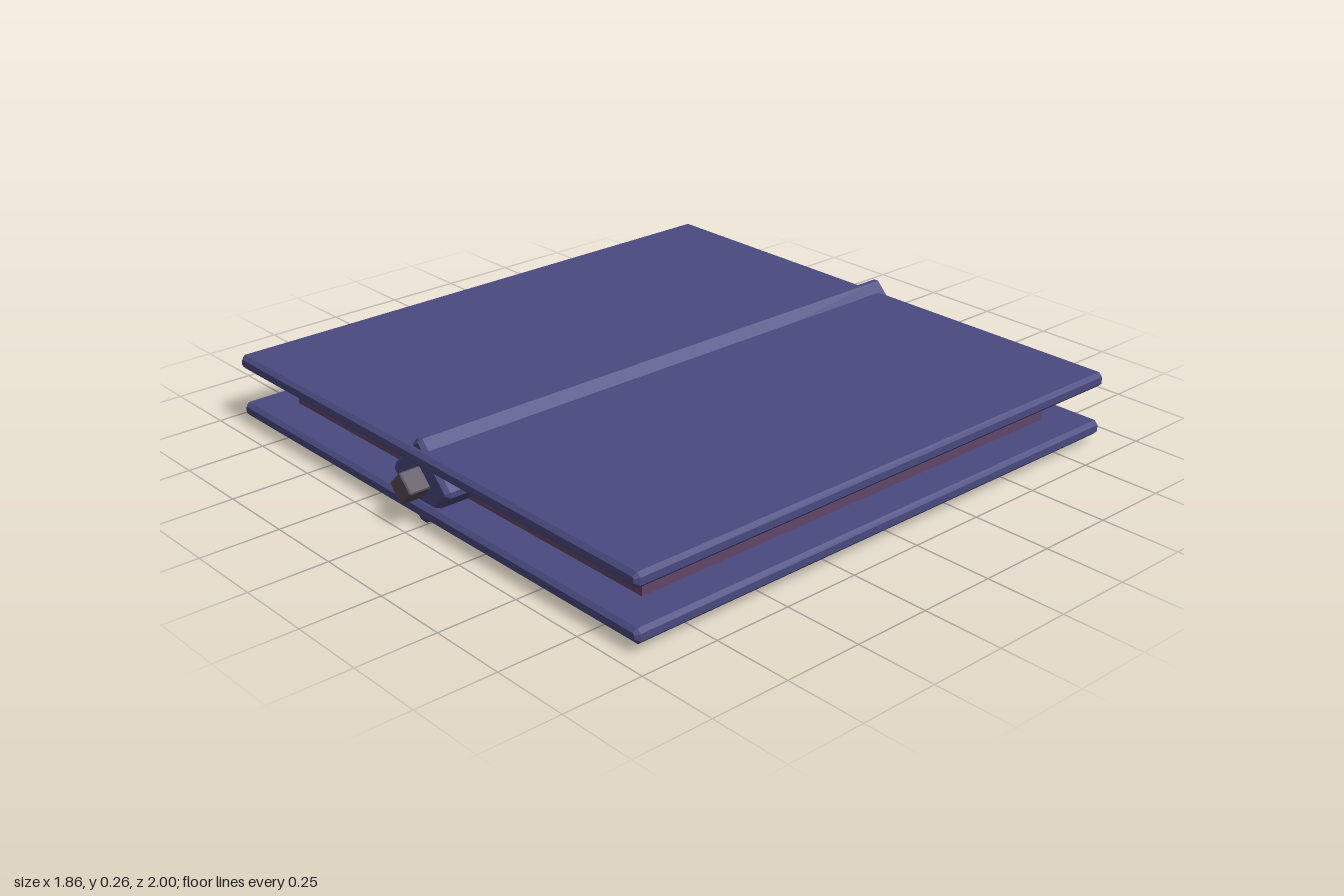
import * as THREE from 'three';

const blue = new THREE.MeshStandardMaterial({ color: 0x4a4a80, flatShading: true });
const plum = new THREE.MeshStandardMaterial({ color: 0x604668, flatShading: true });
const brown = new THREE.MeshStandardMaterial({ color: 0x564c58, flatShading: true });

// Box with every edge chamfered by c, centred on the origin
function chamferedBox(w, h, d, c) {
  const x = w / 2, y = h / 2;
  const corners = [
    [x - c, -y], [x, -y + c], [x, y - c], [x - c, y],
    [-x + c, y], [-x, y - c], [-x, -y + c], [-x + c, -y],
  ];
  const shape = new THREE.Shape(corners.map(([px, py]) => new THREE.Vector2(px, py)));
  const geometry = new THREE.ExtrudeGeometry(shape, {
    depth: d - 2 * c, bevelEnabled: true, bevelSegments: 1,
    bevelThickness: c, bevelSize: c, bevelOffset: -c,
  });
  return geometry.translate(0, 0, -d / 2 + c);
}

export function createModel() {
  const group = new THREE.Group();
  const midY = 0.13;

  function add(name, geometry, material, x, y, z, roll = 0) {
    const mesh = new THREE.Mesh(geometry, material);
    mesh.name = name;
    mesh.position.set(x, y, z);
    mesh.rotation.z = roll;
    group.add(mesh);
  }

  // Two thin plates around a smaller core
  const plate = chamferedBox(1.855, 0.046, 1.86, 0.012);
  add('upperPlate', plate, blue, 0, midY + 0.079, 0.022);
  add('lowerPlate', plate, blue, 0, midY - 0.079, 0.022);
  add('core', new THREE.BoxGeometry(1.61, 0.13, 1.61), plum, 0, midY, 0.025);

  // Square beam standing on its edge, with a slim pin through it
  add('beam', chamferedBox(0.196, 0.196, 1.866, 0.012), blue, -0.015, midY, 0, Math.PI / 4);
  add('pin', chamferedBox(0.072, 0.072, 2, 0.004), brown, -0.013, midY, 0, Math.PI / 4);

  return group;
}
